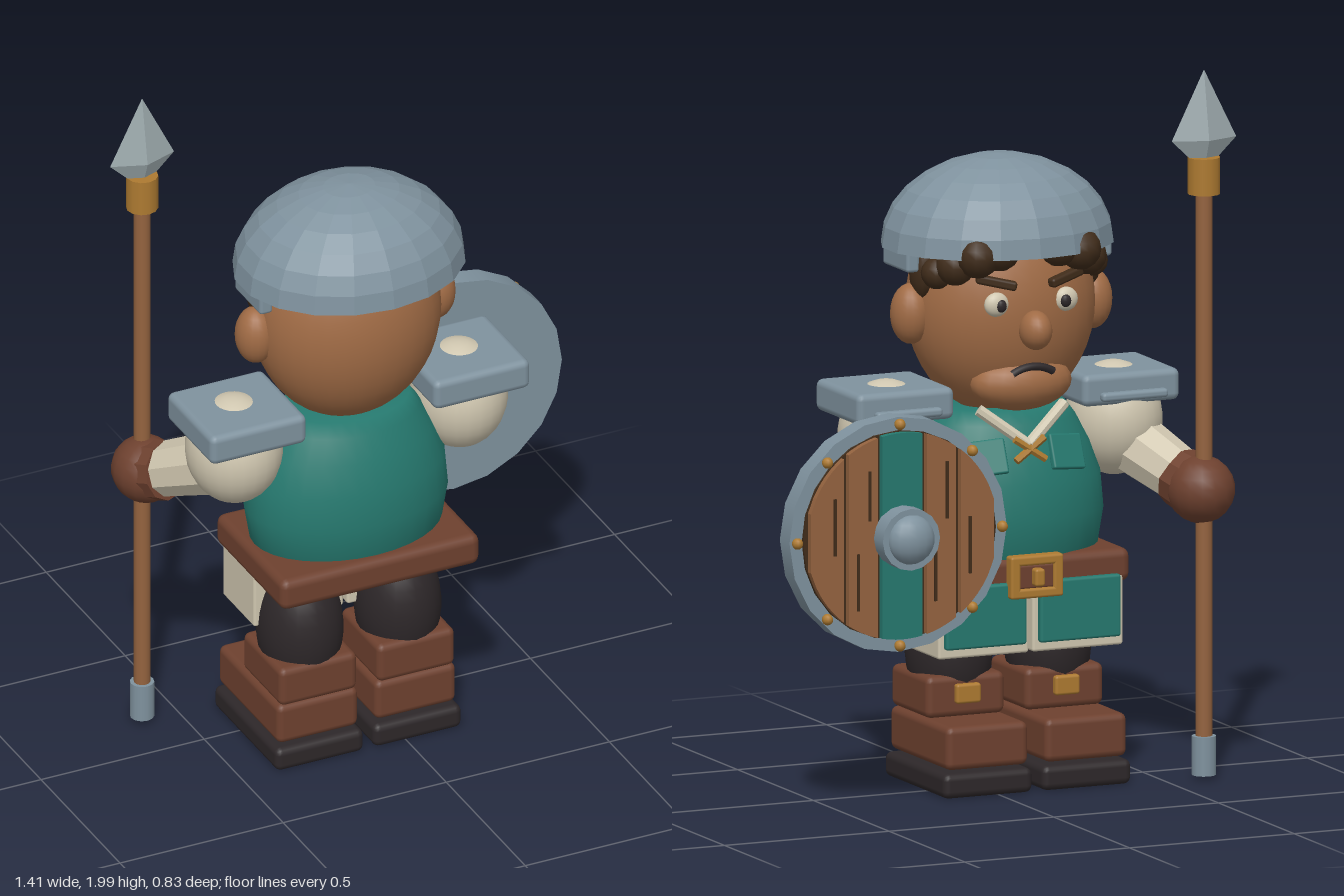
import * as THREE from 'three';
import { RoundedBoxGeometry } from 'three/addons/geometries/RoundedBoxGeometry.js';

const mat = (name, color) => Object.assign(new THREE.MeshStandardMaterial({ color }), { name });
const steel = mat('steel', 0x7f929e), skin = mat('skin', 0xa06b45), teal = mat('teal', 0x26796f);
const leather = mat('leather', 0x6e412f), dark = mat('dark cloth', 0x2d2729), cream = mat('cream', 0xd0c7b0);
const wood = mat('wood', 0x94633f), brass = mat('brass', 0xad7a31), hairMat = mat('hair', 0x402c1a);
const blade = mat('blade', 0x9ca9ac);

// Helpers
function add(parent, name, geo, material, x = 0, y = 0, z = 0) {
  const m = new THREE.Mesh(geo, material);
  m.name = name;
  m.position.set(x, y, z);
  parent.add(m);
  return m;
}
const rbox = (w, h, d, r = 0.02) => new RoundedBoxGeometry(w, h, d, 2, r);
const box = (w, h, d) => new THREE.BoxGeometry(w, h, d);
const ball = (rx, ry, rz, n = 20) => new THREE.SphereGeometry(1, n, Math.round(n * 0.7)).scale(rx, ry, rz);
const cyl = (a, b, h, n = 12) => new THREE.CylinderGeometry(a, b, h, n);
const lathe = (pts, n) => new THREE.LatheGeometry(pts.map(p => new THREE.Vector2(p[0], p[1])), n);
function flat(g) {
  const f = g.index ? g.toNonIndexed() : g;
  f.computeVertexNormals();
  return f;
}
// Cylinder running from point a to point b
function rod(parent, name, a, b, ra, rb, n, material) {
  const A = new THREE.Vector3(...a), B = new THREE.Vector3(...b), d = B.clone().sub(A);
  const m = add(parent, name, flat(cyl(rb, ra, d.length(), n)), material);
  m.position.copy(A).addScaledVector(d, 0.5);
  m.quaternion.setFromUnitVectors(new THREE.Vector3(0, 1, 0), d.normalize());
  return m;
}

function buildHead(body) {
  const head = new THREE.Group();
  head.name = 'head';
  body.add(head);
  add(head, 'skull', ball(0.27, 0.31, 0.225, 32), skin, 0, 1.34, 0.105);
  add(head, 'nose', ball(0.045, 0.055, 0.055), skin, 0, 1.3, -0.13);
  add(head, 'chin', ball(0.15, 0.08, 0.09), skin, 0, 1.14, -0.03);
  const mouth = add(head, 'mouth', new THREE.TorusGeometry(0.12, 0.011, 6, 12, 1.1), dark, 0, 1.075, -0.112);
  mouth.rotation.z = Math.PI / 2 - 0.55;

  // Helmet: faceted dome closed underneath
  const dome = [[0, 0.01], [0.98, 0.01]];
  for (let i = 0; i <= 7; i++) {
    const t = (i / 7) * Math.PI / 2;
    dome.push([Math.cos(t), Math.sin(t)]);
  }
  add(head, 'helmet', flat(lathe(dome, 18).scale(0.332, 0.25, 0.288)), steel, 0, 1.506, 0.122);

  for (const s of [-1, 1]) {
    add(head, 'ear', ball(0.057, 0.085, 0.06), skin, s * 0.275, 1.33, 0.097);
    add(head, 'helmetSidePlate', rbox(0.04, 0.065, 0.165, 0.01), steel, s * 0.292, 1.487, 0.122);
    add(head, 'eye', ball(0.036, 0.034, 0.022), cream, s * 0.105, 1.375, -0.1);
    add(head, 'pupil', ball(0.016, 0.018, 0.01, 12), dark, s * 0.098, 1.373, -0.118);
    const brow = add(head, 'brow', rbox(0.115, 0.026, 0.03, 0.008), hairMat, s * 0.105, 1.437, -0.1);
    brow.rotation.set(0, -s * 0.3, s * 0.22);
    // Curls and sideburns below the helmet rim
    const curls = [[0.09, 1.525, -0.085, 0.06], [0.155, 1.51, -0.085, 0.06], [0.2, 1.48, -0.035, 0.055],
      [0.235, 1.455, 0.01, 0.045]];
    for (const [x, y, z, r] of curls) add(head, 'hairCurl', ball(r, r, r, 12), hairMat, s * x, y, z);
    add(head, 'sideburn', ball(0.03, 0.075, 0.05, 12), hairMat, s * 0.255, 1.45, 0.07);
  }
}

function buildTorso(body) {
  const profile = [[0, 0.49], [0.12, 0.505], [0.22, 0.56], [0.28, 0.66], [0.297, 0.76], [0.288, 0.86],
    [0.255, 0.95], [0.215, 1.02], [0.185, 1.06], [0, 1.06]];
  add(body, 'tunic', lathe(profile, 32).scale(1, 1, 0.72), teal, 0, 0, 0.1);
  add(body, 'belt', rbox(0.61, 0.095, 0.43, 0.025), leather, 0, 0.612, 0.115);
  // Belt buckle: four frame bars around a leather centre
  for (const s of [-1, 1]) {
    add(body, 'buckleSide', rbox(0.03, 0.12, 0.04, 0.008), brass, s * 0.065, 0.61, -0.125);
    add(body, 'buckleBar', rbox(0.16, 0.028, 0.04, 0.008), brass, 0, 0.61 + s * 0.046, -0.125);
  }
  add(body, 'buckleCentre', rbox(0.11, 0.07, 0.04, 0.008), leather, 0, 0.61, -0.118);
  add(body, 'bucklePin', rbox(0.03, 0.05, 0.05, 0.008), brass, 0, 0.61, -0.14);

  // Collar laces and clasp
  for (const s of [-1, 1]) {
    rod(body, 'collarLace', [s * 0.13, 1.07, -0.035], [0, 0.97, -0.085], 0.017, 0.017, 8, cream);
    rod(body, 'collarClasp', [s * 0.045, 0.99, -0.09], [-s * 0.045, 0.93, -0.1], 0.011, 0.011, 6, brass);
    const flap = add(body, 'chestFlap', rbox(0.11, 0.1, 0.02, 0.006), teal, s * 0.12, 0.94, -0.07);
    flap.rotation.set(0.4, -s * 0.25, 0);
    // Skirt halves with coloured front panels
    add(body, 'skirt', rbox(0.275, 0.2, 0.2, 0.008), cream, s * 0.143, 0.49, 0);
    add(body, 'skirtPanel', rbox(0.245, 0.175, 0.025, 0.008), teal, s * 0.143, 0.505, -0.108);
  }
}

function buildLeg(body, s) {
  const leg = new THREE.Group();
  leg.name = s < 0 ? 'rightLeg' : 'leftLeg';
  leg.position.x = s * 0.15;
  body.add(leg);
  add(leg, 'trouser', ball(0.12, 0.2, 0.13, 24), dark, 0, 0.38, 0.118);
  add(leg, 'bootCuff', rbox(0.238, 0.118, 0.245), leather, 0, 0.264, 0.122);
  add(leg, 'bootFoot', rbox(0.248, 0.122, 0.385), leather, 0, 0.145, 0.048);
  add(leg, 'bootSole', rbox(0.27, 0.07, 0.405), dark, 0, 0.041, 0.052);
  add(leg, 'bootBuckle', rbox(0.075, 0.055, 0.025, 0.008), brass, 0, 0.272, -0.007);
}

function buildArm(body, s) {
  const arm = new THREE.Group();
  arm.name = s < 0 ? 'rightArm' : 'leftArm';
  body.add(arm);
  add(arm, 'shoulder', ball(0.135, 0.16, 0.14, 24), cream, s * 0.345, 0.99, 0.105);
  add(arm, 'pauldron', rbox(0.295, 0.09, 0.29), steel, s * 0.3425, 1.092, 0.12);
  add(arm, 'pauldronTrim', rbox(0.2, 0.025, 0.03, 0.01), steel, s * 0.3425, 1.075, -0.036);
  const elbow = [s * 0.375, 0.93, 0.07], wrist = [s * 0.47, 0.835, -0.11], hand = [s * 0.49, 0.82, -0.155];
  rod(arm, 'sleeve', elbow, wrist, 0.09, 0.076, 9, cream);
  rod(arm, 'gloveCuff', [s * 0.46, 0.845, -0.08], hand, 0.084, 0.088, 10, leather);
  add(arm, 'glove', ball(0.095, 0.095, 0.1, 16), leather, ...hand);
}

function buildSpear(root) {
  const spear = new THREE.Group();
  spear.name = 'spear';
  spear.position.set(-0.608, 0, -0.17);
  root.add(spear);
  add(spear, 'shaft', cyl(0.023, 0.023, 1.62), wood, 0, 0.85, 0);
  add(spear, 'buttCap', cyl(0.034, 0.034, 0.11), steel, 0, 0.075, 0);
  add(spear, 'collar', cyl(0.045, 0.045, 0.103), brass, 0, 1.703, 0);
  const tip = lathe([[0, 1.75], [0.04, 1.75], [0.098, 1.805], [0, 2]], 4).scale(1, 1, 0.36);
  add(spear, 'spearhead', flat(tip), blade);
}

// Vertical strip of a disc between x0 and x1
function plank(x0, x1, r, depth) {
  const pts = [];
  for (let i = 0; i <= 6; i++) {
    const x = x0 + (x1 - x0) * i / 6;
    pts.push(new THREE.Vector2(x, -Math.sqrt(r * r - x * x)));
  }
  for (let i = 6; i >= 0; i--) pts.push(new THREE.Vector2(pts[i].x, -pts[i].y));
  return new THREE.ExtrudeGeometry(new THREE.Shape(pts), { depth, bevelEnabled: false });
}

function buildShield(root) {
  const shield = new THREE.Group();
  shield.name = 'shield';
  shield.position.set(0.375, 0.793, 0);
  root.add(shield);
  const disc = (name, r, h, z, m, n = 24) => add(shield, name, cyl(r, r, h, n).rotateX(Math.PI / 2), m, 0, 0, z);
  disc('shieldRim', 0.33, 0.064, -0.256, steel, 20);
  disc('shieldBacking', 0.293, 0.012, -0.291, hairMat);
  const edges = [-0.285, -0.17, -0.068, 0.068, 0.17, 0.285];
  for (let i = 0; i < 5; i++) {
    add(shield, 'plank', plank(edges[i] + 0.007, edges[i + 1] - 0.007, 0.29, 0.024), i === 2 ? teal : wood, 0, 0, -0.317);
  }
  for (const s of [-1, 1]) for (const [x, y, h] of [[0.1, 0.12, 0.14], [0.135, -0.12, 0.16], [0.205, 0.04, 0.16]]) {
    add(shield, 'woodGrain', box(0.008, h, 0.006), hairMat, s * x, y * s, -0.318);
  }
  disc('bossRing', 0.087, 0.062, -0.345, steel, 16);
  add(shield, 'boss', ball(0.07, 0.07, 0.05, 16), steel, 0, 0, -0.37);
  for (let i = 0; i < 8; i++) {
    const a = i * Math.PI / 4;
    add(shield, 'rivet', ball(0.016, 0.016, 0.016, 10), brass, Math.cos(a) * 0.311, Math.sin(a) * 0.311, -0.3);
  }
}

export function createModel() {
  const root = new THREE.Group();
  root.name = 'guard';
  const body = new THREE.Group();
  body.name = 'body';
  body.position.x = -0.115;
  root.add(body);
  buildHead(body);
  buildTorso(body);
  for (const s of [-1, 1]) {
    buildLeg(body, s);
    buildArm(body, s);
  }
  buildSpear(root);
  buildShield(root);
  return root;
}
